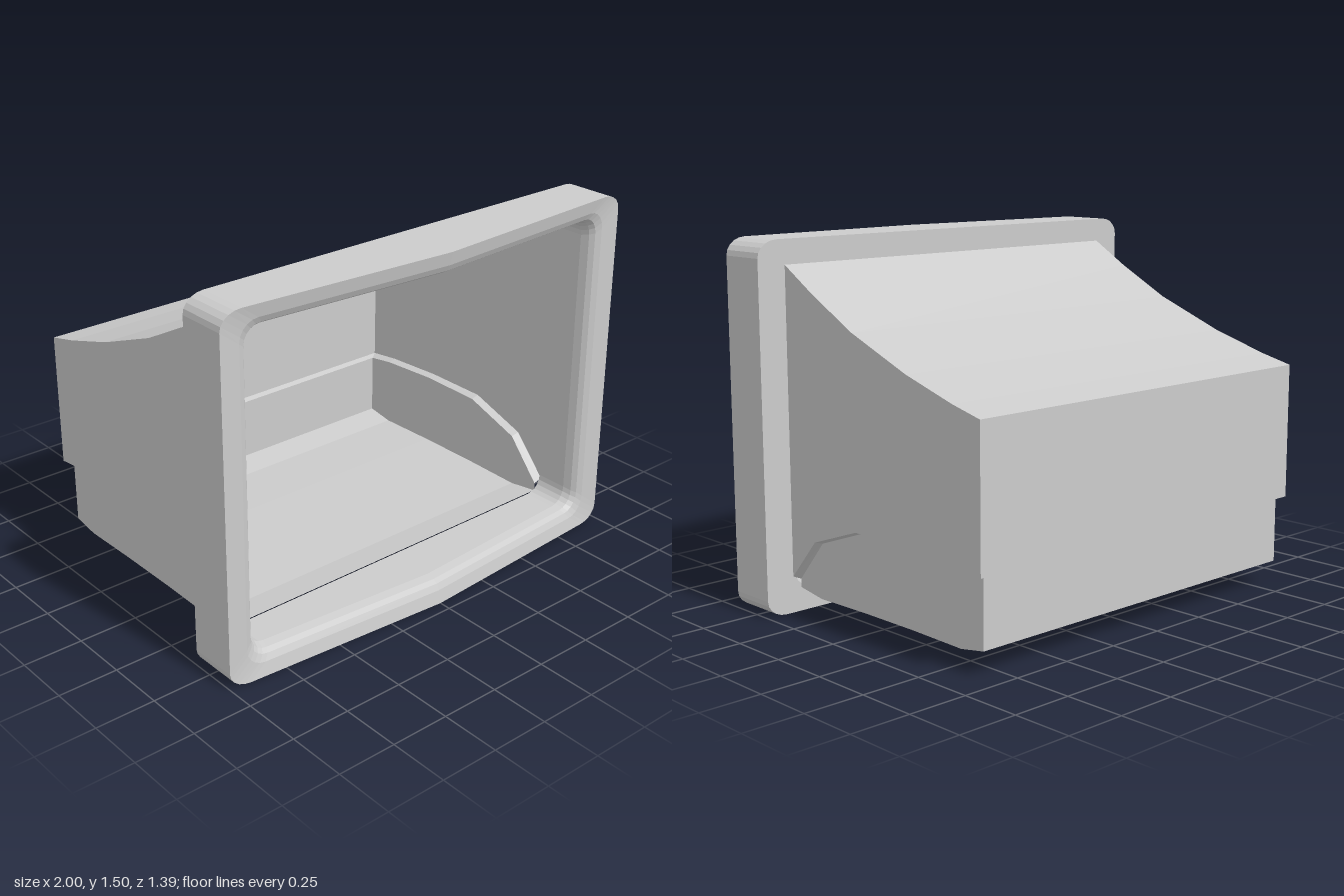
import * as THREE from 'three';

const material = new THREE.MeshStandardMaterial({ color: 0xcccccc, flatShading: true, side: THREE.DoubleSide });

// Skin a list of equally long rows of points with quads
function loft(name, rows, closed = false) {
  const n = rows[0].length, index = [];
  for (let r = 0; r < rows.length - 1; r++) {
    for (let i = 0; i < (closed ? n : n - 1); i++) {
      const j = (i + 1) % n;
      const a = r * n + i, b = r * n + j, c = a + n, d = b + n;
      index.push(a, b, d, a, d, c);
    }
  }
  const indexed = new THREE.BufferGeometry();
  indexed.setAttribute('position', new THREE.Float32BufferAttribute(rows.flat(2), 3));
  indexed.setIndex(index);
  const geometry = indexed.toNonIndexed();
  geometry.computeVertexNormals();
  const mesh = new THREE.Mesh(geometry, material);
  mesh.name = name;
  return mesh;
}

// Counter-clockwise rounded rectangle, with a mid point on the top and bottom edges
function roundedRing(w, h, rx, ry, zAt) {
  const pts = [], steps = 5;
  const add = (x, y) => pts.push([x, 0.75 + y, zAt(x)]);
  const corners = [[1, 1], [-1, 1], [-1, -1], [1, -1]];
  corners.forEach(([sx, sy], k) => {
    for (let i = 0; i <= steps; i++) {
      const t = (k + i / steps) * Math.PI / 2;
      add(sx * (w - rx) + rx * Math.cos(t), sy * (h - ry) + ry * Math.sin(t));
    }
    if (k === 0) add(0, h);
    if (k === 2) add(0, -h);
  });
  return pts;
}

export function createModel() {
  const group = new THREE.Group();
  group.name = 'hood';

  // Bezel: bowed front, rolled inner lip, flat back
  const back = () => 0.42;
  const bow = (drop) => (x) => 0.63 + 0.07 * (1 - Math.abs(x)) - drop;
  const lip = [
    // inset x, inset y, depth behind the front edge, corner radius
    [0.085, 0.055, 0.012, 0.08],
    [0.11, 0.08, 0.025, 0.075],
    [0.125, 0.092, 0.045, 0.07],
    [0.135, 0.1, 0.08, 0.07],
  ];
  group.add(loft('bezel', [
    roundedRing(0.865, 0.65, 0.07, 0.07, back),
    roundedRing(1, 0.75, 0.09, 0.07, back),
    roundedRing(1, 0.75, 0.09, 0.07, bow(0)),
    ...lip.map(([ix, iy, drop, r]) => roundedRing(1 - ix, 0.75 - iy, r, r, bow(drop))),
    roundedRing(0.865, 0.65, 0.07, 0.07, back),
  ], true));

  // Side profiles of the housing as [z, y], front to back
  const roof = [[0.42, 1.4], [0.25, 1.3], [0.01, 1.175], [-0.3, 1.055], [-0.55, 0.98], [-0.695, 0.945]];
  const arch = [[0.42, 0.15], [0.27, 0.32], [0.01, 0.41], [-0.28, 0.412], [-0.55, 0.398], [-0.695, 0.38]];
  const step = [[0.415, 0.135], [0.265, 0.31], [0.01, 0.4], [-0.28, 0.405], [-0.55, 0.39], [-0.67, 0.372]];
  const floor = [[0.415, 0.1], [0.28, 0.08], [0.01, 0.085], [-0.28, 0.085], [-0.55, 0.08], [-0.67, 0.1]];

  const side = (profile, x) => profile.map(([z, y]) => [x, y, z]);
  // Path down the left side, across the back and up the right side
  const around = (profile, x) => [...side(profile, x), ...side(profile, -x).reverse()];

  group.add(
    loft('upperWalls', [around(roof, 0.875), around(arch, 0.875)]),
    loft('stepLedge', [around(arch, 0.875), around(step, 0.84)]),
    loft('lowerWalls', [around(step, 0.84), around(floor, 0.84)]),
    loft('roof', [side(roof, -0.875), side(roof, 0.875)]),
    loft('floor', [side(floor, 0.84), side(floor, -0.84)]),
  );
  return group;
}
